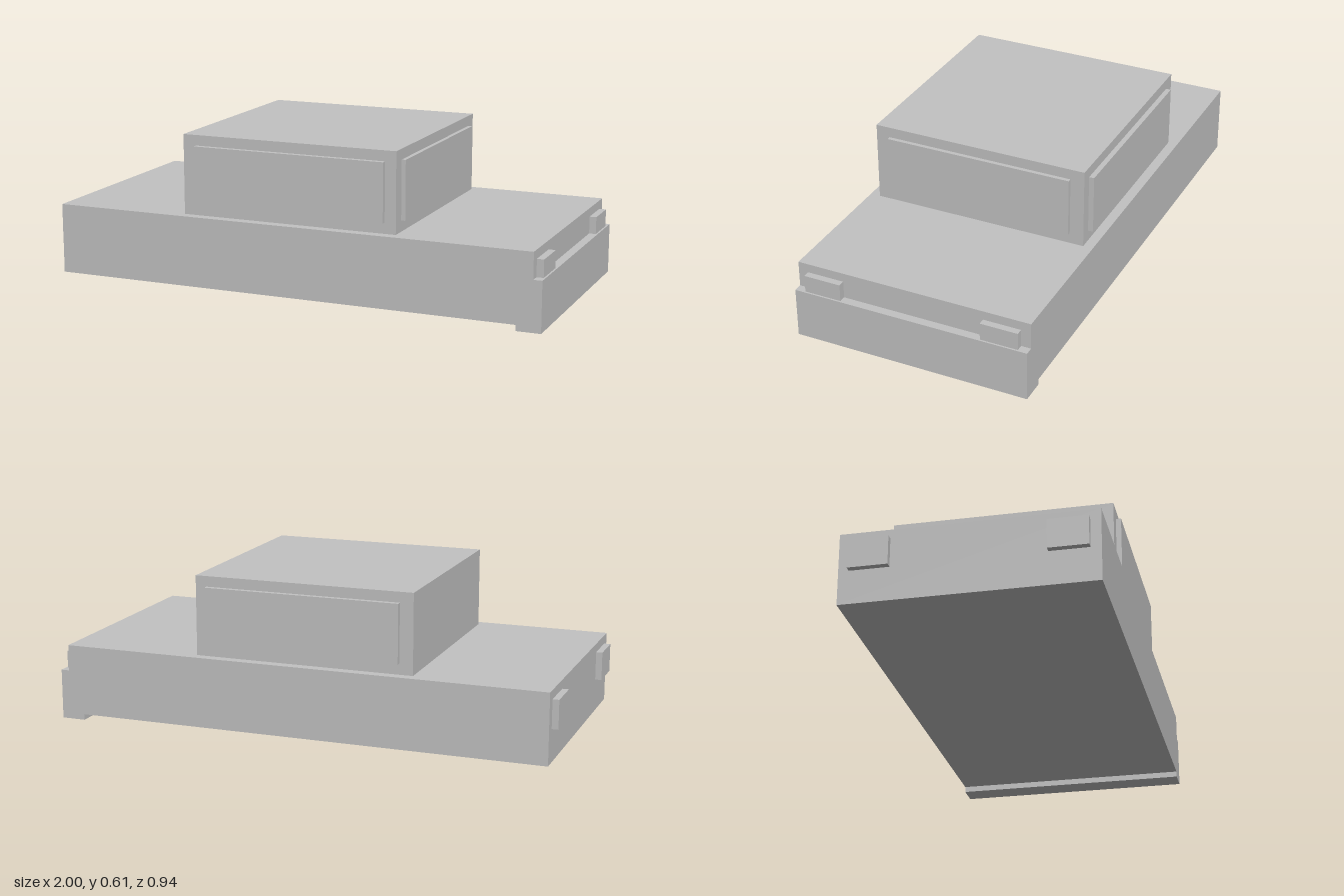
import * as THREE from 'three';

export function createModel() {
  const model = new THREE.Group();
  model.name = 'blockCar';
  const lightGrey = new THREE.MeshStandardMaterial({ color: 0xc2c2c2 });
  lightGrey.name = 'lightGrey';

  // Box given by its limits along each axis
  function block(name, [x0, x1], [y0, y1], [z0, z1]) {
    const mesh = new THREE.Mesh(new THREE.BoxGeometry(x1 - x0, y1 - y0, z1 - z0), lightGrey);
    mesh.position.set((x0 + x1) / 2, (y0 + y1) / 2, (z0 + z1) / 2);
    mesh.name = name;
    model.add(mesh);
  }

  // Main volumes; the nose points to +x
  block('body', [-0.975, 0.966], [0.023, 0.3], [-0.47, 0.47]);
  block('bumper', [0.905, 1], [0, 0.197], [-0.47, 0.47]);
  block('cabin', [-0.448, 0.426], [0.3, 0.614], [-0.431, 0.431]);
  block('windshield', [0.426, 0.442], [0.343, 0.573], [-0.376, 0.376]);

  // Paired parts on both sides
  for (const [side, s] of [['left', 1], ['right', -1]]) {
    const span = (a, b) => (s > 0 ? [a, b] : [-b, -a]);
    block(side + 'SideWindow', [-0.395, 0.382], [0.343, 0.573], span(0.431, 0.451));
    block(side + 'Headlight', [0.966, 0.993], [0.197, 0.265], span(0.283, 0.431));
    block(side + 'TailLight', [-1, -0.975], [0.153, 0.265], span(0.283, 0.431));
  }
  return model;
}
